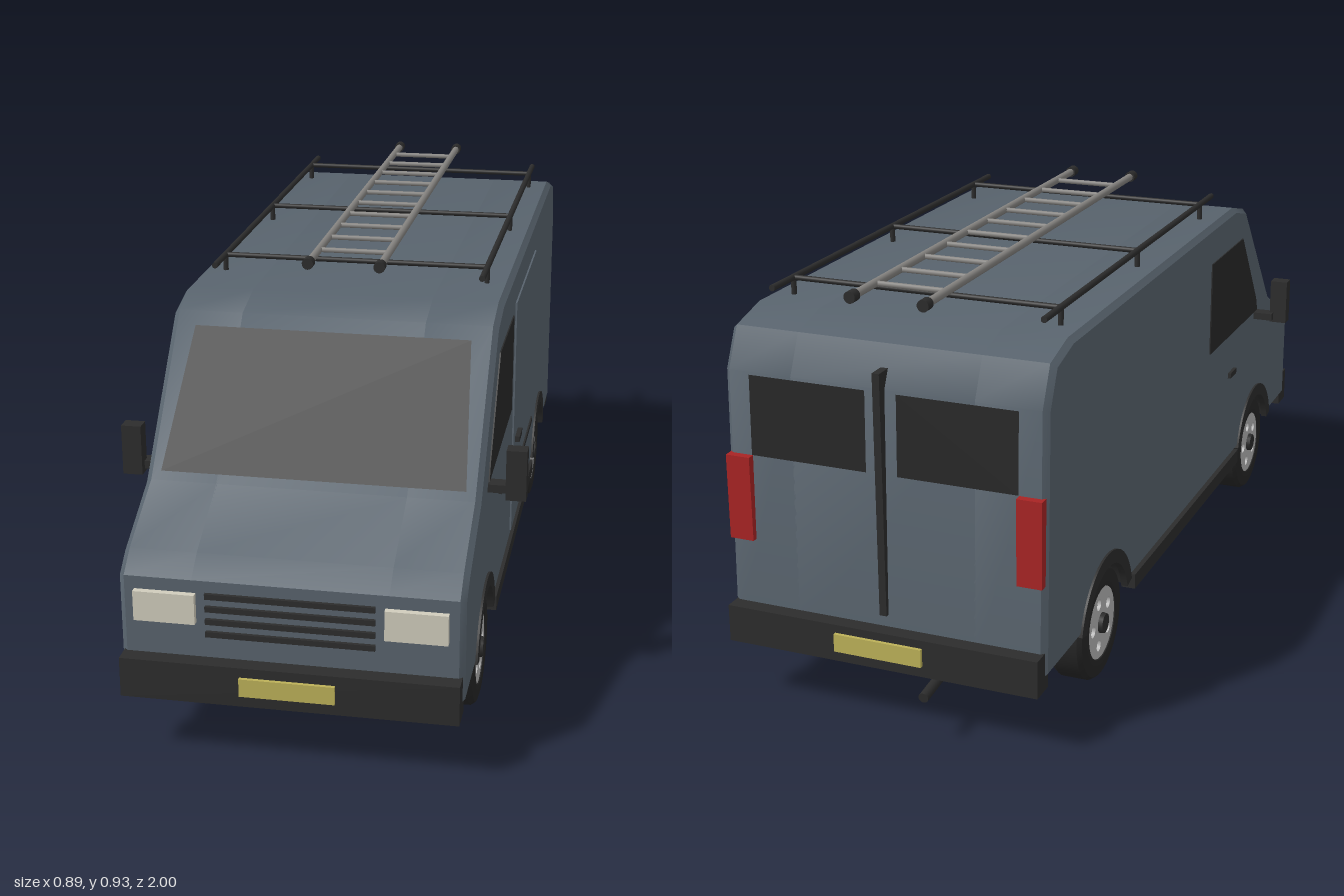
import * as THREE from 'three';
import { toCreasedNormals } from 'three/addons/utils/BufferGeometryUtils.js';

const mat = (name, color, side = THREE.FrontSide) => {
  const m = new THREE.MeshStandardMaterial({ color, side });
  m.name = name;
  return m;
};

export function createModel() {
  const paint = mat('slate paint', 0x58636d);
  const trim = mat('black trim', 0x2c2c2c, THREE.DoubleSide);
  const glass = mat('dark glass', 0x282828, THREE.DoubleSide);
  const rubber = mat('tyre rubber', 0x262626);
  const silver = mat('rim silver', 0xb4b4b4);
  const alloy = mat('ladder alloy', 0x858380);
  const lamp = mat('headlight', 0xd0ccbc);
  const plateYellow = mat('plate yellow', 0xbcb058);
  const red = mat('tail light red', 0xa82424);

  const van = new THREE.Group();
  van.name = 'van';

  const add = (name, geo, material, parent = van) => {
    const m = new THREE.Mesh(geo, material);
    m.name = name;
    parent.add(m);
    return m;
  };
  // Box given by its limits on each axis
  const box = (name, material, [x0, x1], [y0, y1], [z0, z1]) => {
    const g = new THREE.BoxGeometry(x1 - x0, y1 - y0, z1 - z0);
    g.translate((x0 + x1) / 2, (y0 + y1) / 2, (z0 + z1) / 2);
    return add(name, g, material);
  };
  // Box on one side of the van; s is +1 (left) or -1 (right)
  const sideBox = (name, material, s, [x0, x1], y, z) =>
    box(name, material, s > 0 ? [x0, x1] : [-x1, -x0], y, z);
  // Round bar between two points
  const rod = (name, material, a, b, r, sides = 10) => {
    const p = new THREE.Vector3(...a), q = new THREE.Vector3(...b);
    const m = add(name, new THREE.CylinderGeometry(r, r, p.distanceTo(q), sides), material);
    m.position.copy(p).add(q).multiplyScalar(0.5);
    m.quaternion.setFromUnitVectors(new THREE.Vector3(0, 1, 0), q.sub(p).normalize());
    return m;
  };
  // Extrudes a (z, y) outline across the van from x0 to x1
  const across = (shape, x0, x1, bevel = 0) => {
    const g = new THREE.ExtrudeGeometry(shape, {
      depth: x1 - x0 - 2 * bevel, curveSegments: 20, bevelEnabled: bevel > 0,
      bevelSize: bevel, bevelThickness: bevel, bevelOffset: -bevel, bevelSegments: 1,
    });
    g.rotateY(-Math.PI / 2);
    g.translate(x1 - bevel, 0, 0);
    return toCreasedNormals(g, 0.7);
  };
  // Four-cornered thin face
  const quad = (name, material, corners) => {
    const g = new THREE.BufferGeometry();
    g.setAttribute('position', new THREE.Float32BufferAttribute(corners.flat(), 3));
    g.setIndex([0, 1, 2, 0, 2, 3]);
    g.computeVertexNormals();
    return add(name, g, material);
  };
  const outline = (pts) => new THREE.Shape(pts.map(([z, y]) => new THREE.Vector2(z, y)));

  // Body: plain centre and two bevelled sides with wheel openings
  const axles = [0.62, -0.577], axleY = 0.13, wellR = 0.148, floorY = 0.165;
  const profile = [[0.953, floorY], [0.953, 0.4], [0.905, 0.44], [0.74, 0.525], [0.48, 0.825],
    [0.38, 0.85], [-0.785, 0.85], [-0.88, 0.825], [-0.92, 0.74], [-0.935, floorY]];
  add('bodyCentre', across(outline(profile), -0.205, 0.205), paint);
  const sideShape = new THREE.Shape();
  profile.forEach(([z, y], i) => (i ? sideShape.lineTo(z, y) : sideShape.moveTo(z, y)));
  const a0 = Math.asin((floorY - axleY) / wellR);
  for (const z of [...axles].reverse()) sideShape.absarc(z, axleY, wellR, Math.PI - a0, a0, true);
  for (const [x0, x1] of [[0.19, 0.36], [-0.36, -0.19]]) {
    add('bodySide', across(sideShape, x0, x1, 0.012), paint);
  }

  // Wheels, arches and wells
  const tyreProfile = [[0, -0.042], [0.1, -0.042], [0.122, -0.038], [0.129, -0.028], [0.129, 0.028],
    [0.122, 0.038], [0.108, 0.042], [0.084, 0.04], [0.08, 0.03], [0, 0.03]]
    .map(([r, h]) => new THREE.Vector2(r, h));
  const tyreGeo = toCreasedNormals(new THREE.LatheGeometry(tyreProfile, 40), 0.6);
  const rimShape = new THREE.Shape().absarc(0, 0, 0.082, 0, Math.PI * 2);
  for (let i = 0; i < 5; i++) {
    const a = Math.PI / 2 + (i * Math.PI * 2) / 5;
    rimShape.holes.push(new THREE.Path().absarc(Math.cos(a) * 0.052, Math.sin(a) * 0.052, 0.013, 0, Math.PI * 2));
  }
  const rimGeo = new THREE.ExtrudeGeometry(rimShape, { depth: 0.008, bevelEnabled: false, curveSegments: 24 });
  rimGeo.rotateX(-Math.PI / 2);
  rimGeo.translate(0, 0.03, 0);
  const hubGeo = new THREE.CylinderGeometry(0.022, 0.024, 0.012, 16).translate(0, 0.042, 0);

  for (const s of [1, -1]) {
    for (const z of axles) {
      const wheel = new THREE.Group();
      wheel.name = 'wheel';
      add('tyre', tyreGeo, rubber, wheel);
      add('rim', rimGeo, silver, wheel);
      add('hubCap', hubGeo, trim, wheel);
      wheel.rotation.z = -s * Math.PI / 2;
      wheel.position.set(s * 0.312, 0.129, z);
      van.add(wheel);

      const arch = new THREE.Shape();
      arch.absarc(z, axleY, 0.165, a0, Math.PI - a0, false);
      arch.absarc(z, axleY, 0.134, Math.PI - a0, a0, true);
      add('wheelArch', s > 0 ? across(arch, 0.35, 0.365) : across(arch, -0.365, -0.35), trim);

      const liner = new THREE.Shape();
      liner.absarc(z, axleY, wellR - 0.001, a0, Math.PI - a0, false);
      liner.absarc(z, axleY, wellR - 0.005, Math.PI - a0, a0, true);
      add('wheelWell', s > 0 ? across(liner, 0.2, 0.352) : across(liner, -0.352, -0.2), trim);
      const wall = new THREE.Shape().absarc(z, axleY, wellR - 0.002, a0, Math.PI - a0, false);
      add('wellWall', s > 0 ? across(wall, 0.203, 0.209) : across(wall, -0.209, -0.203), trim);
    }

    // Cab window, door handle, sill and mirror
    const win = outline([[0.61, 0.518], [0.595, 0.555], [0.445, 0.755], [0.172, 0.755], [0.172, 0.523]]);
    add('cabWindow', s > 0 ? across(win, 0.356, 0.363) : across(win, -0.363, -0.356), glass);
    sideBox('doorHandle', trim, s, [0.355, 0.368], [0.403, 0.417], [0.35, 0.402]);
    sideBox('sill', trim, s, [0.335, 0.367], [0.135, 0.17], [-0.4, 0.45]);
    sideBox('mirrorArm', trim, s, [0.35, 0.41], [0.498, 0.516], [0.585, 0.62]);
    sideBox('mirrorHead', trim, s, [0.4, 0.444], [0.49, 0.603], [0.603, 0.638]);

    // Lights
    sideBox('headlight', lamp, s, [0.197, 0.327], [0.306, 0.372], [0.94, 0.967]);
    sideBox('tailLight', red, s, [0.3, 0.355], [0.37, 0.558], [-0.942, -0.9]);

    // Rear window, following the tilt of the back
    const rz = (y) => -0.92 - (0.74 - y) * 0.026 - 0.004;
    quad('rearWindow', glass, [[s * 0.035, 0.735, rz(0.735)], [s * 0.3, 0.735, rz(0.735)],
      [s * 0.3, 0.56, rz(0.56)], [s * 0.035, 0.56, rz(0.56)]]);

    // Roof rack side rail
    rod('rackRail', trim, [s * 0.305, 0.887, 0.335], [s * 0.305, 0.887, -0.805], 0.007);
    // Ladder rail with end caps
    rod('ladderRail', alloy, [s * 0.081, 0.913, 0.37], [s * 0.081, 0.913, -0.875], 0.009);
    for (const z of [0.365, -0.875]) {
      rod('ladderCap', trim, [s * 0.081, 0.913, z - 0.012], [s * 0.081, 0.913, z + 0.012], 0.013, 14);
    }
  }

  // Sliding door on the left side
  box('slidingDoor', paint, [0.355, 0.364], [0.19, 0.77], [-0.352, 0.12]);
  box('slidingDoorHandle', trim, [0.36, 0.375], [0.407, 0.421], [0.02, 0.083]);
  box('slidingDoorRail', trim, [0.36, 0.368], [0.308, 0.32], [-0.333, 0.1]);

  // Windscreen, lying on the sloped front
  const screen = (x, y) => [x, y + 0.003, 0.74 - (y - 0.525) * 0.867 + 0.004];
  quad('windscreen', glass, [screen(-0.328, 0.54), screen(0.328, 0.54), screen(0.305, 0.797), screen(-0.305, 0.797)]);

  // Grille, bumpers, plates and rear door seam
  for (let i = 0; i < 4; i++) {
    const y = 0.283 + i * 0.0285;
    box('grilleBar', trim, [-0.177, 0.177], [y - 0.006, y + 0.006], [0.945, 0.961]);
  }
  box('frontBumper', trim, [-0.355, 0.355], [0.14, 0.228], [0.925, 0.99]);
  box('rearBumper', trim, [-0.355, 0.355], [0.14, 0.223], [-0.968, -0.91]);
  box('frontPlate', plateYellow, [-0.1, 0.1], [0.167, 0.207], [0.99, 0.998]);
  box('rearPlate', plateYellow, [-0.1, 0.1], [0.165, 0.205], [-0.976, -0.968]);
  box('rearDoorSeam', trim, [-0.008, 0.008], [0.25, 0.78], [-0.942, -0.9]);

  // Exhaust
  rod('exhaust', trim, [-0.115, 0.122, -0.88], [-0.115, 0.11, -0.998], 0.011, 14);

  // Roof rack crossbars and legs
  for (const z of [0.237, -0.238, -0.713]) {
    rod('rackCrossbar', trim, [-0.305, 0.887, z], [0.305, 0.887, z], 0.006);
    for (const x of [-0.305, 0.305]) rod('rackLeg', trim, [x, 0.845, z], [x, 0.887, z], 0.006);
  }

  // Ladder rungs
  for (let i = 0; i < 10; i++) {
    const z = -0.772 + i * 0.1137;
    rod('ladderRung', alloy, [-0.081, 0.913, z], [0.081, 0.913, z], 0.006, 8);
  }

  return van;
}
